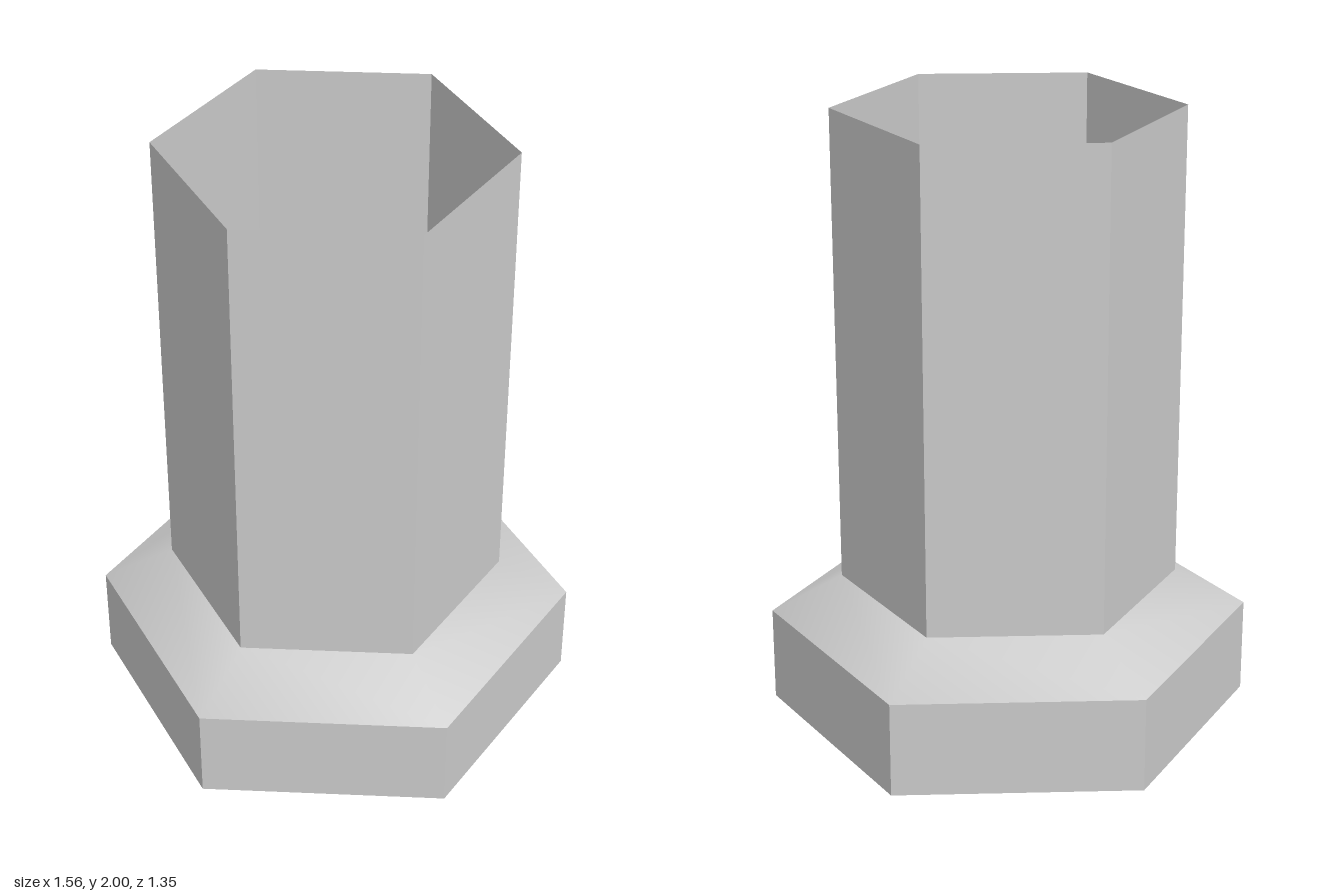
import * as THREE from 'three';
import { toCreasedNormals } from 'three/addons/utils/BufferGeometryUtils.js';

const SIDES = 6;
const TUBE_R = 0.55;
const COLLAR_R = 0.782;

// Six-sided revolved part with corners on the x axis
function hexPart(name, profile, material) {
  const points = profile.map(([r, y]) => new THREE.Vector2(r, y));
  const lathe = new THREE.LatheGeometry(points, SIDES, Math.PI / 2);
  const mesh = new THREE.Mesh(toCreasedNormals(lathe, 0.7), material);
  mesh.name = name;
  return mesh;
}

export function createModel() {
  const group = new THREE.Group();
  group.name = 'flangedHexTube';
  const material = new THREE.MeshStandardMaterial({ color: 0xcccccc, side: THREE.DoubleSide });

  // Thin open tube running the full height
  group.add(hexPart('tube', [[TUBE_R, 0], [TUBE_R, 2]], material));

  // Base collar: underside ring, upright sides, sloped shoulder
  group.add(hexPart('collar', [
    [TUBE_R, 0], [COLLAR_R, 0], [COLLAR_R, 0.313], [TUBE_R, 0.438],
  ], material));

  return group;
}
